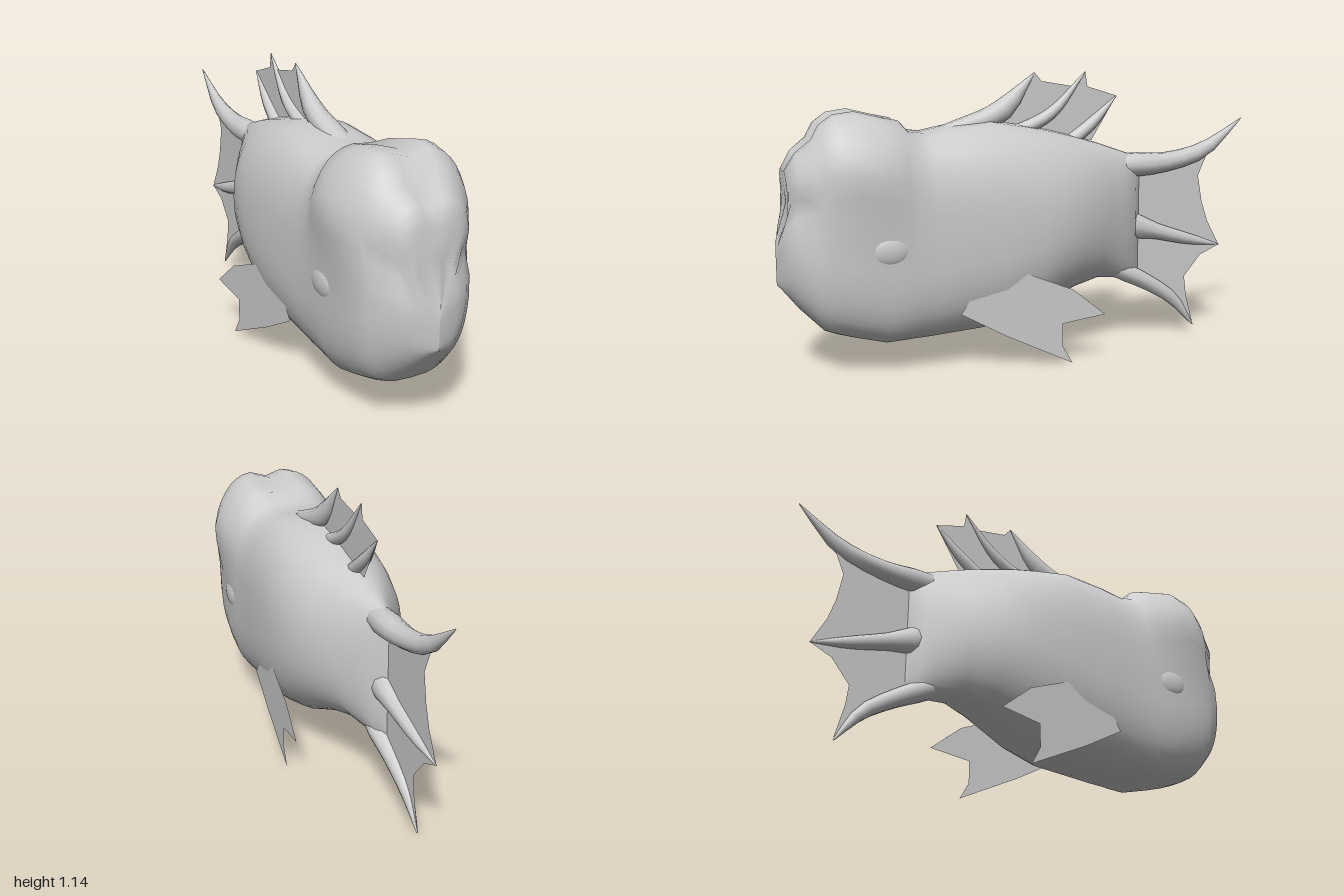
import * as THREE from 'three';

const solid = new THREE.MeshStandardMaterial({ color: 0xcccccc });
const thin = new THREE.MeshStandardMaterial({ color: 0xcccccc, side: THREE.DoubleSide });

// Skin a list of closed rings that run from front to back
function loft(rings) {
  const n = rings[0].length;
  const index = [];
  for (let j = 0; j < rings.length - 1; j++) {
    for (let i = 0; i < n; i++) {
      const a = j * n + i, b = j * n + (i + 1) % n;
      index.push(a, a + n, b, b, a + n, b + n);
    }
  }
  const geo = new THREE.BufferGeometry().setFromPoints(rings.flat());
  geo.setIndex(index);
  geo.computeVertexNormals();
  return geo;
}

// Flat fin from [z, y] corners in the middle plane
function finSheet(corners) {
  const shape = new THREE.Shape(corners.map(([z, y]) => new THREE.Vector2(z, y)));
  return new THREE.ShapeGeometry(shape).rotateY(-Math.PI / 2);
}

// Tapered fin ray: knots are [z, y, half height, half width]
function finRay(knots) {
  const centre = new THREE.CatmullRomCurve3(knots.map(([z, y]) => new THREE.Vector3(0, y, z)));
  const size = new THREE.CatmullRomCurve3(knots.map(([, , h, w]) => new THREE.Vector3(w, h, 0)));
  const rings = [];
  for (let j = 0; j <= 10; j++) {
    const c = centre.getPoint(j / 10), s = size.getPoint(j / 10), t = centre.getTangent(j / 10);
    const ring = [];
    for (let i = 0; i < 10; i++) {
      const a = i / 10 * Math.PI * 2, up = Math.sin(a) * s.y;
      ring.push(new THREE.Vector3(Math.cos(a) * s.x, c.y - t.z * up, c.z + t.y * up));
    }
    rings.push(ring);
  }
  return loft(rings);
}

// Head and body cross-sections: z, top, bottom, half width, squareness
const HEAD = [
  [0.995, 0.52, 0.35, 0, 2.4], [0.98, 0.67, 0.335, 0.08, 2.5],
  [0.96, 0.81, 0.31, 0.13, 2.6], [0.92, 0.87, 0.26, 0.172, 2.8],
  [0.86, 0.915, 0.2, 0.205, 3], [0.83, 0.97, 0.17, 0.217, 3.1],
  [0.78, 1.005, 0.152, 0.23, 3.2], [0.70, 1.015, 0.13, 0.24, 3.3],
  [0.60, 0.99, 0.105, 0.245, 3.3], [0.53, 0.975, 0.107, 0.245, 3.2],
  [0.49, 0.93, 0.108, 0.245, 3],
];
const BODY = [
  [0.42, 0.92, 0.11, 0.246, 2.9], [0.32, 0.94, 0.115, 0.252, 2.7],
  [0.15, 0.955, 0.125, 0.26, 2.5], [0.00, 0.93, 0.165, 0.256, 2.3],
  [-0.10, 0.91, 0.21, 0.24, 2.2], [-0.20, 0.885, 0.25, 0.212, 2.1],
  [-0.32, 0.85, 0.28, 0.15, 2.1], [-0.42, 0.815, 0.27, 0.088, 2.2],
  [-0.48, 0.795, 0.27, 0.055, 2.2], [-0.52, 0.785, 0.29, 0, 2],
];

const bell = (v, width) => Math.exp(-((v / width) ** 2));

function bodyGeometry() {
  const power = (v, e) => Math.sign(v) * Math.pow(Math.abs(v), 2 / e);
  return loft([...HEAD, ...BODY].map(([z, top, bottom, w, e]) => {
    const ring = [];
    for (let i = 0; i < 40; i++) {
      const a = i / 40 * Math.PI * 2;
      const x = w * power(Math.cos(a), e);
      const y = (top + bottom) / 2 + (top - bottom) / 2 * power(Math.sin(a), e);
      // Swollen cheeks, a groove along the crown and a fold under the brow
      const cheek = 0.17 * bell(z - 0.68, 0.13) * bell(y - 0.79, 0.13);
      const groove = y > 0.7 ? 0.028 * bell(x, 0.045) * THREE.MathUtils.smoothstep(z, 0.48, 0.6) : 0;
      const fold = 0.035 * bell(y - 0.65, 0.06) * THREE.MathUtils.smoothstep(z, 0.8, 0.92);
      ring.push(new THREE.Vector3(x * (1 + cheek), y - groove, z - fold));
    }
    return ring;
  }));
}

export function createModel() {
  const group = new THREE.Group();
  const add = (name, geo, material = solid) => {
    const mesh = new THREE.Mesh(geo, material);
    mesh.name = name;
    group.add(mesh);
    return mesh;
  };

  add('body', bodyGeometry());

  for (const [side, s] of [['left', 1], ['right', -1]]) {
    // Low swelling around the eye
    const eye = add(`${side} eye`, new THREE.SphereGeometry(1, 16, 10));
    eye.position.set(s * 0.228, 0.5, 0.6);
    eye.scale.set(0.026, 0.06, 0.08);

    // Belly fin, flaring outward toward the back
    const fin = finSheet([
      [0.33, 0.23], [0.15, 0.13], [-0.12, 0], [-0.08, 0.07], [-0.08, 0.18],
      [-0.19, 0.25], [-0.255, 0.19], [-0.12, 0.30], [0.03, 0.36], [0.2, 0.43],
    ]);
    const p = fin.attributes.position;
    for (let i = 0; i < p.count; i++) p.setX(i, s * (0.246 - 0.07 * p.getZ(i)));
    fin.computeVertexNormals();
    add(`${side} bellyFin`, fin, thin);
  }

  // Back fin: three spines joined by webbing
  const spines = [
    [[0.44, 0.885, 0.02, 0.03], [0.26, 0.93, 0.035, 0.05], [0.1, 0.985, 0.045, 0.04], [-0.05, 1.14, 0.002, 0.002]],
    [[0.06, 0.89, 0.03, 0.035], [-0.12, 0.975, 0.025, 0.025], [-0.27, 1.14, 0.002, 0.002]],
    [[-0.18, 0.84, 0.03, 0.035], [-0.3, 0.93, 0.025, 0.025], [-0.41, 1.04, 0.002, 0.002]],
  ];
  for (const knots of spines) add('backSpine', finRay(knots));
  add('backWeb', finSheet([
    [0.1, 0.93], [-0.05, 1.14], [-0.08, 1.105], [-0.23, 1.08], [-0.27, 1.14],
    [-0.28, 1.08], [-0.41, 1.04], [-0.3, 0.86], [-0.1, 0.89],
  ]), thin);

  // Tail fin: three curved rays joined by webbing, rooted inside the body
  const rays = [
    [[-0.28, 0.75, 0.02, 0.02], [-0.48, 0.75, 0.052, 0.055], [-0.64, 0.755, 0.042, 0.045], [-0.82, 0.8, 0.034, 0.028], [-1, 0.93, 0.002, 0.002]],
    [[-0.3, 0.54, 0.03, 0.02], [-0.46, 0.5, 0.06, 0.05], [-0.6, 0.46, 0.036, 0.038], [-0.76, 0.415, 0.025, 0.025], [-0.91, 0.38, 0.002, 0.002]],
    [[-0.26, 0.38, 0.02, 0.02], [-0.44, 0.3, 0.04, 0.05], [-0.56, 0.24, 0.035, 0.038], [-0.69, 0.155, 0.027, 0.025], [-0.79, 0.03, 0.003, 0.003]],
  ];
  for (const knots of rays) add('tailRay', finRay(knots));
  add('tailWeb', finSheet([
    [-0.46, 0.74], [-0.84, 0.78], [-0.8, 0.69], [-0.82, 0.58], [-0.85, 0.49], [-0.91, 0.38],
    [-0.82, 0.34], [-0.745, 0.25], [-0.755, 0.17], [-0.79, 0.04], [-0.65, 0.19], [-0.46, 0.3],
  ]), thin);

  return group;
}
